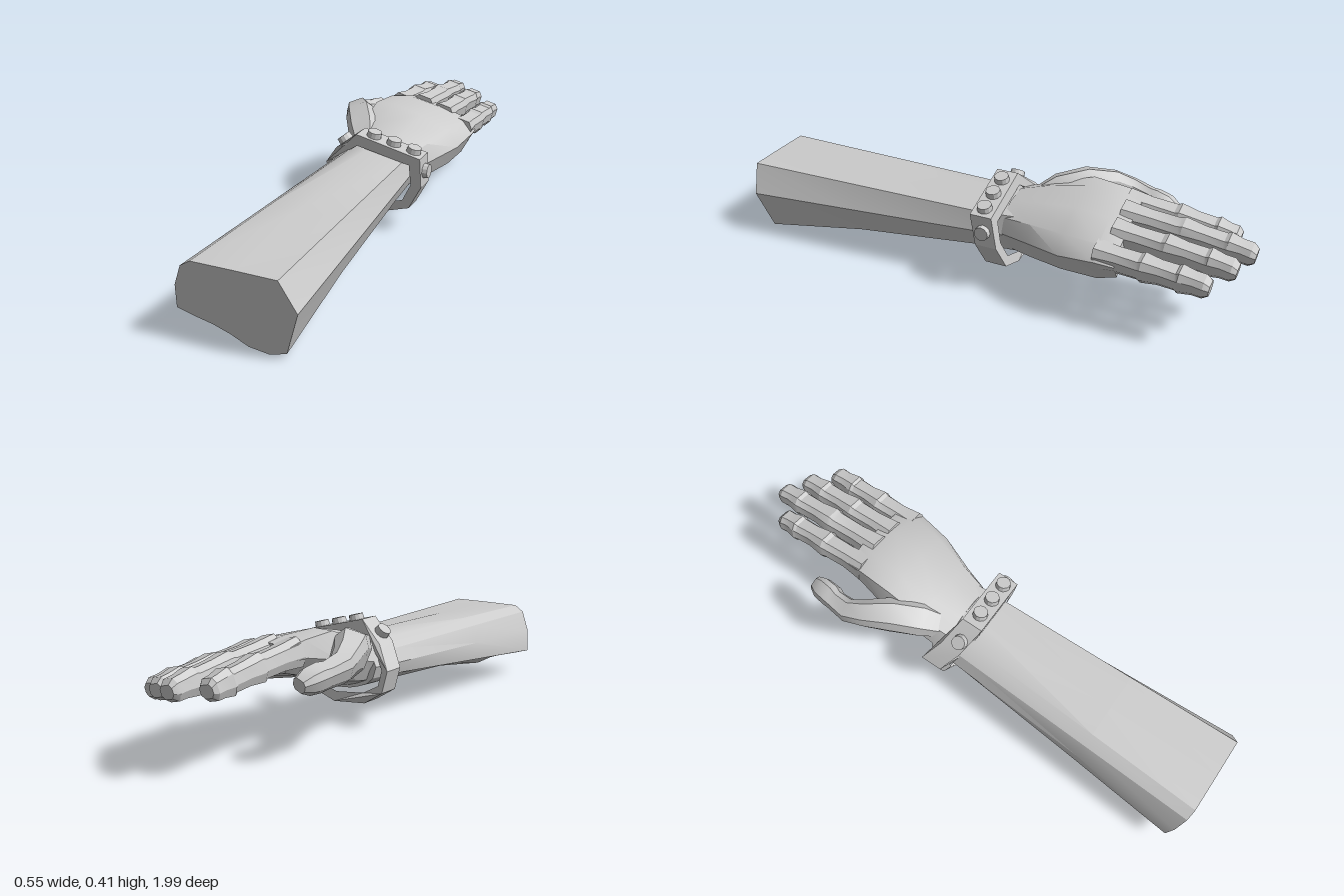
import * as THREE from 'three';
import { toCreasedNormals } from 'three/addons/utils/BufferGeometryUtils.js';

const material = new THREE.MeshStandardMaterial({ color: 0xcccccc });
const V = (x, y, z) => new THREE.Vector3(x, y, z);

function mesh(name, geometry, crease = 0.45) {
  const m = new THREE.Mesh(toCreasedNormals(geometry, crease), material);
  m.name = name;
  return m;
}

// Skin a list of rings (clockwise seen from the start) and cap both ends.
function loft(rings) {
  const n = rings[0].length, pos = [], index = [];
  rings.forEach(r => r.forEach(p => pos.push(p.x, p.y, p.z)));
  for (let i = 0; i < rings.length - 1; i++) {
    for (let j = 0; j < n; j++) {
      const k = (j + 1) % n, a = i * n + j, b = i * n + k;
      index.push(a, b, b + n, a, b + n, a + n);
    }
  }
  [0, rings.length - 1].forEach((i, end) => {
    const c = rings[i].reduce((s, p) => s.add(p), V(0, 0, 0)).divideScalar(n);
    const ci = pos.length / 3;
    pos.push(c.x, c.y, c.z);
    for (let j = 0; j < n; j++) {
      const a = i * n + j, b = i * n + (j + 1) % n;
      index.push(ci, end ? a : b, end ? b : a);
    }
  });
  const g = new THREE.BufferGeometry();
  g.setAttribute('position', new THREE.Float32BufferAttribute(pos, 3));
  g.setIndex(index);
  return g;
}

// Bevelled-box section swept along stations [x, y, z, width, height].
const SECTION = [[-0.3, 0.5], [0.3, 0.5], [0.5, 0.25], [0.5, -0.2],
  [0.28, -0.5], [-0.28, -0.5], [-0.5, -0.2], [-0.5, 0.25]];
function sweep(stations, up) {
  const pts = stations.map(s => V(s[0], s[1], s[2]));
  return loft(stations.map(([, , , w, h], i) => {
    const t = pts[Math.min(i + 1, pts.length - 1)].clone().sub(pts[Math.max(i - 1, 0)]).normalize();
    const side = t.clone().cross(up).normalize();
    const top = side.clone().cross(t);
    return SECTION.map(([u, v]) => pts[i].clone().addScaledVector(side, u * w).addScaledVector(top, v * h));
  }));
}

function forearm() {
  const elbow = [[-0.13, 0.295], [0.02, 0.296], [0.17, 0.295], [0.222, 0.185], [0.165, 0.02], [0.1, 0],
    [0.03, 0.01], [-0.03, 0.043], [-0.09, 0.066], [-0.16, 0.083], [-0.215, 0.1], [-0.205, 0.19], [-0.17, 0.27]];
  const wrist = [[-0.08, 0.31], [0, 0.327], [0.145, 0.295], [0.162, 0.22], [0.13, 0.145], [0.08, 0.125],
    [0.03, 0.125], [-0.03, 0.13], [-0.07, 0.14], [-0.11, 0.155], [-0.14, 0.18], [-0.155, 0.225], [-0.13, 0.275]];
  const rings = [0, 0.45, 1].map(t => elbow.map(([x, y], j) => V(
    THREE.MathUtils.lerp(x, wrist[j][0], t),
    THREE.MathUtils.lerp(y, wrist[j][1], t) + (t === 0.45 && y < 0.1 ? 0.015 : 0),
    THREE.MathUtils.lerp(0.94 + y * 0.17, 0, t))));
  rings.push(wrist.map(([x, y]) => V(x * 0.95, y + 0.008, -0.15)));
  return mesh('forearm', loft(rings));
}

function palm() {
  const sections = [
    [-0.1, [-0.1, 0.31], [-0.02, 0.335], [0.07, 0.325], [0.14, 0.29], [0.155, 0.23],
      [0.12, 0.16], [0.05, 0.14], [-0.03, 0.14], [-0.1, 0.17], [-0.14, 0.24]],
    [-0.22, [-0.11, 0.35], [-0.03, 0.37], [0.08, 0.35], [0.17, 0.305], [0.195, 0.24],
      [0.16, 0.165], [0.08, 0.165], [-0.03, 0.165], [-0.11, 0.19], [-0.14, 0.27]],
    [-0.36, [-0.11, 0.4], [-0.03, 0.402], [0.09, 0.37], [0.205, 0.32], [0.248, 0.255],
      [0.21, 0.18], [0.11, 0.215], [0, 0.235], [-0.08, 0.215], [-0.14, 0.3]],
    [-0.5, [-0.1, 0.39], [-0.02, 0.4], [0.11, 0.37], [0.225, 0.325], [0.268, 0.275],
      [0.22, 0.185], [0.12, 0.225], [0.02, 0.25], [-0.07, 0.265], [-0.113, 0.33]],
    [-0.57, [-0.095, 0.375], [0, 0.382], [0.11, 0.35], [0.215, 0.31], [0.255, 0.265],
      [0.215, 0.205], [0.12, 0.24], [0.02, 0.265], [-0.07, 0.285], [-0.105, 0.33]],
  ];
  return mesh('palm', loft(sections.map(([z, ...p]) => p.map(([x, y]) => V(x, y, z)))), 0.6);
}

// Three phalanges, each swelling at its joint and narrowing before the next.
function finger(name, x0, x1, y0, y1, joints) {
  const stations = [], first = joints[0], tip = joints[3];
  const add = (z, w, h) => {
    const t = (z - first) / (tip - first);
    stations.push([THREE.MathUtils.lerp(x0, x1, t), THREE.MathUtils.lerp(y0, y1, t * (0.55 + 0.45 * t)), z, w, h]);
  };
  for (let i = 0; i < 3; i++) {
    const a = joints[i], len = joints[i + 1] - a, s = 1 - i * 0.05;
    add(a, 0.094 * s, 0.106 * s);
    add(a + len * 0.45, 0.076 * s, 0.088 * s);
    add(a + len * (i === 2 ? 0.8 : 0.92), 0.082 * s, 0.084 * s);
  }
  add(tip, 0.058, 0.045);
  return mesh(name, sweep(stations, V(0.24, 0.97, 0)));
}

function thumb() {
  return mesh('thumb', sweep([
    [-0.06, 0.26, -0.17, 0.1, 0.14],
    [-0.1, 0.295, -0.24, 0.13, 0.17],
    [-0.155, 0.32, -0.33, 0.125, 0.165],
    [-0.205, 0.32, -0.41, 0.1, 0.13],
    [-0.228, 0.305, -0.47, 0.088, 0.105],
    [-0.222, 0.295, -0.54, 0.076, 0.086],
    [-0.215, 0.292, -0.57, 0.086, 0.092],
    [-0.208, 0.287, -0.62, 0.082, 0.08],
    [-0.203, 0.282, -0.655, 0.055, 0.045],
  ], V(-0.35, 0.93, 0)));
}

// Slanted bracelet: an angular hoop that leans back towards its underside.
const lean = (x, y) => -(0.39 - y) * 0.16 + 0.5 * Math.min(0, x + 0.1);
function bracelet() {
  const group = new THREE.Group();
  group.name = 'bracelet';
  const outer = [[-0.035, 0.388], [0.22, 0.322], [0.22, 0.2], [0.165, 0.1], [0.06, 0.067],
    [-0.08, 0.08], [-0.18, 0.14], [-0.202, 0.225], [-0.135, 0.31]];
  const inner = [[-0.035, 0.34], [0.175, 0.29], [0.178, 0.205], [0.14, 0.132], [0.055, 0.105],
    [-0.07, 0.118], [-0.15, 0.16], [-0.165, 0.22], [-0.115, 0.278]];
  const points = list => list.map(p => new THREE.Vector2(...p));
  const shape = new THREE.Shape(points(outer));
  shape.holes.push(new THREE.Path(points(inner)));
  const g = new THREE.ExtrudeGeometry(shape, { depth: 0.085, bevelEnabled: false });
  const p = g.attributes.position;
  for (let i = 0; i < p.count; i++) p.setZ(i, p.getZ(i) - 0.08 + lean(p.getX(i), p.getY(i)));
  g.deleteAttribute('normal');
  group.add(mesh('band', g, 0.3));

  // Studs: position on the band and outward direction.
  [[-0.103, 0.343, -0.62, 0.78], [0.02, 0.378, 0.25, 0.97], [0.1, 0.357, 0.25, 0.97],
    [0.18, 0.336, 0.25, 0.97], [0.222, 0.26, 1, 0]].forEach(([x, y, nx, ny]) => {
    const stud = mesh('stud', new THREE.CylinderGeometry(0.027, 0.03, 0.035, 12));
    stud.position.set(x, y, -0.038 + lean(x, y));
    stud.quaternion.setFromUnitVectors(V(0, 1, 0), V(nx, ny, 0).normalize());
    group.add(stud);
  });
  return group;
}

export function createModel() {
  const model = new THREE.Group();
  model.name = 'forearmAndHand';
  model.add(forearm(), palm(), thumb(), bracelet(),
    finger('indexFinger', -0.062, -0.064, 0.345, 0.3, [-0.51, -0.7, -0.84, -0.925]),
    finger('middleFinger', 0.028, 0.029, 0.345, 0.3, [-0.52, -0.74, -0.9, -1]),
    finger('ringFinger', 0.118, 0.124, 0.318, 0.282, [-0.52, -0.71, -0.86, -0.96]),
    finger('littleFinger', 0.212, 0.221, 0.277, 0.255, [-0.49, -0.66, -0.79, -0.895]));
  return model;
}
